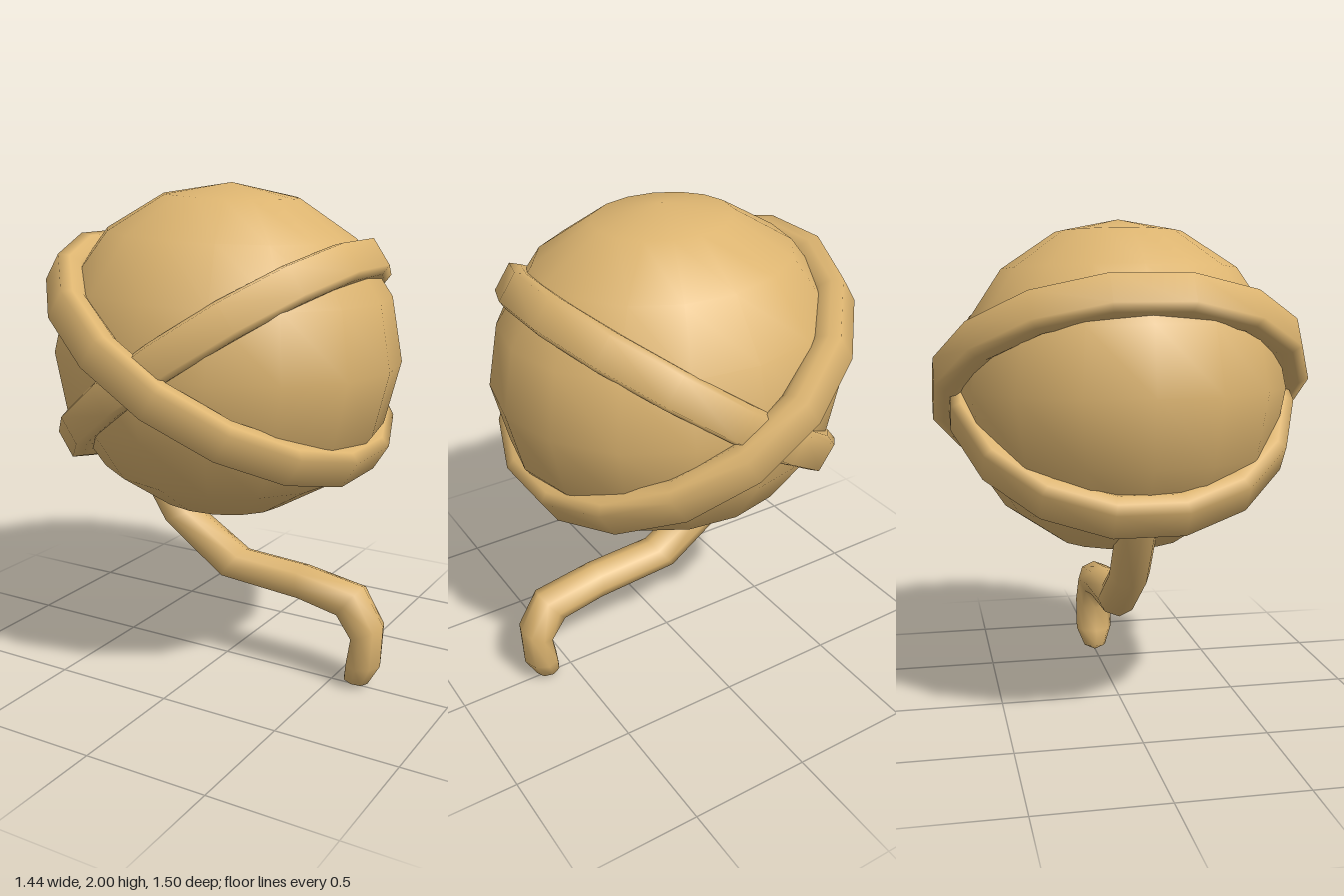
import * as THREE from 'three';

// Closed band with a flattened round section, wrapped around the ball
function makeBand(name, material, x, y, tilt, depth) {
  const section = [
    [0.625, 0], [0.64, -0.05], [0.68, -0.075], [0.725, -0.076], [0.767, -0.06],
    [0.767, 0.06], [0.725, 0.076], [0.68, 0.075], [0.64, 0.05], [0.625, 0],
  ].map(([r, h]) => new THREE.Vector2(r, h));
  const band = new THREE.Mesh(new THREE.LatheGeometry(section, 16, Math.PI / 16), material);
  band.name = name;
  band.position.set(x, y, 0);
  band.rotation.z = tilt;
  band.scale.z = depth;
  return band;
}

// Tube through elliptical rings, each given by its two edge points and half depth
function loftRings(rings, sides) {
  const positions = [];
  const indices = [];
  for (const [x1, y1, x2, y2, depth] of rings) {
    for (let j = 0; j < sides; j++) {
      const a = (j / sides) * Math.PI * 2;
      const c = Math.cos(a) / 2;
      positions.push((x1 + x2) / 2 + (x1 - x2) * c, (y1 + y2) / 2 + (y1 - y2) * c, depth * Math.sin(a));
    }
  }
  for (let i = 0; i < rings.length - 1; i++) {
    for (let j = 0; j < sides; j++) {
      const k = (j + 1) % sides;
      const a = i * sides + j, b = i * sides + k;
      indices.push(a, b, a + sides, b, b + sides, a + sides);
    }
  }
  const geometry = new THREE.BufferGeometry();
  geometry.setAttribute('position', new THREE.Float32BufferAttribute(positions, 3));
  geometry.setIndex(indices);
  geometry.computeVertexNormals();
  return geometry;
}

export function createModel() {
  const group = new THREE.Group();
  group.name = 'yarnBall';
  const yarn = new THREE.MeshStandardMaterial({ color: 0xdcb470 });
  yarn.name = 'yarn tan';

  // Slightly squashed and tilted ball
  const ball = new THREE.Mesh(new THREE.SphereGeometry(1, 16, 8), yarn);
  ball.name = 'ball';
  ball.scale.set(0.715, 0.67, 0.67);
  ball.position.set(-0.005, 1.33, 0);
  ball.rotation.z = -0.037;
  group.add(ball);

  // Two crossing strands
  group.add(makeBand('outerStrand', yarn, -0.01, 1.335, -0.569, 1));
  group.add(makeBand('innerStrand', yarn, -0.015, 1.316, 0.607, 0.917));

  // Loose end trailing to the ground: upper edge, lower edge, half depth
  const tail = new THREE.Mesh(loftRings([
    [-0.32, 0.89, -0.46, 0.82, 0.083],
    [-0.15, 0.635, -0.295, 0.56, 0.083],
    [0.09, 0.49, -0.01, 0.355, 0.083],
    [0.36, 0.475, 0.365, 0.325, 0.083],
    [0.63, 0.43, 0.525, 0.29, 0.083],
    [0.72, 0.275, 0.585, 0.21, 0.083],
    [0.712, 0.105, 0.565, 0.1, 0.083],
    [0.66, 0.015, 0.557, 0.03, 0.05],
    [0.605, 0, 0.605, 0, 0],
  ], 8), yarn);
  tail.name = 'looseEnd';
  group.add(tail);

  return group;
}
